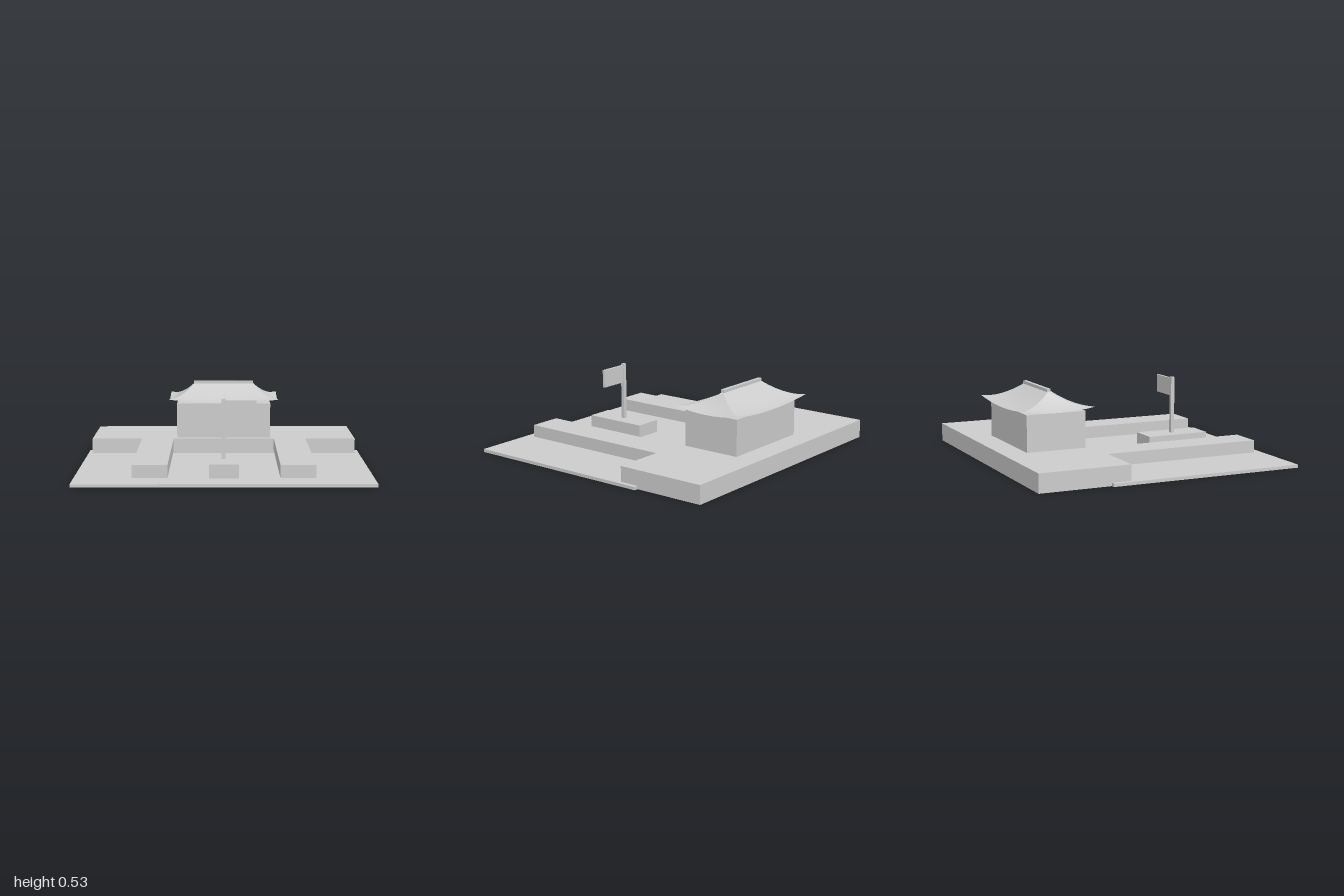
import * as THREE from 'three';

const grey = new THREE.MeshStandardMaterial({ color: 0xcccccc, side: THREE.DoubleSide });
grey.name = 'plain grey';

// Box given by its limits on each axis
function block(name, [x0, x1], [y0, y1], [z0, z1]) {
  const mesh = new THREE.Mesh(new THREE.BoxGeometry(x1 - x0, y1 - y0, z1 - z0), grey);
  mesh.position.set((x0 + x1) / 2, (y0 + y1) / 2, (z0 + z1) / 2);
  mesh.name = name;
  return mesh;
}

// One concave roof slope with upturned eave corners; angle is the way it faces
function roofSlope(angle, eaveHalf, ridgeHalf, eaveOut, ridgeOut) {
  const across = 12, up = 10;
  const c = Math.round(Math.cos(angle)), n = Math.round(Math.sin(angle));
  const points = [], index = [];
  for (let j = 0; j <= up; j++) {
    const t = j / up;
    for (let i = 0; i <= across; i++) {
      const s = (2 * i) / across - 1;
      const a = s * THREE.MathUtils.lerp(eaveHalf, ridgeHalf, t);
      const o = THREE.MathUtils.lerp(eaveOut, ridgeOut, t);
      const y = 0.395 + 0.122 * t ** 1.6 + 0.025 * s * s * (1 - t) ** 2;
      points.push(a * c + o * n, y, -a * n + o * c);
      if (i < across && j < up) {
        const k = j * (across + 1) + i, m = k + across + 1;
        index.push(k, k + 1, m + 1, k, m + 1, m);
      }
    }
  }
  const geometry = new THREE.BufferGeometry();
  geometry.setAttribute('position', new THREE.Float32BufferAttribute(points, 3));
  geometry.setIndex(index);
  geometry.computeVertexNormals();
  return new THREE.Mesh(geometry, grey);
}

export function createModel() {
  const model = new THREE.Group();
  model.name = 'courtyard';

  // Ground, rear terrace and the two side wings
  model.add(block('ground', [-1, 1], [0, 0.022], [-0.44, 0.945]));
  model.add(block('terrace', [-0.97, 0.97], [0, 0.13], [-0.945, -0.3]));
  model.add(block('leftWing', [0.37, 0.605], [0.043, 0.13], [-0.3, 0.835]));
  model.add(block('rightWing', [-0.605, -0.37], [0.043, 0.13], [-0.3, 0.835]));

  // Flag on its pedestal
  model.add(block('pedestal', [-0.1, 0.1], [0.02, 0.113], [0.265, 0.732]));
  model.add(block('flagPole', [-0.015, 0.012], [0.113, 0.523], [0.484, 0.51]));
  model.add(block('flag', [0.012, 0.22], [0.385, 0.513], [0.488, 0.506]));

  // Hall
  model.add(block('hall', [-0.345, 0.345], [0.13, 0.385], [-0.775, -0.345]));

  // Hipped roof with ridge
  const roof = new THREE.Group();
  roof.name = 'roof';
  roof.position.z = -0.565;
  for (let i = 0; i < 4; i++) {
    const slope = i % 2 === 0
      ? roofSlope((i * Math.PI) / 2, 0.405, 0.22, 0.265, 0)
      : roofSlope((i * Math.PI) / 2, 0.265, 0, 0.405, 0.22);
    slope.name = ['frontSlope', 'leftSlope', 'backSlope', 'rightSlope'][i];
    roof.add(slope);
  }
  roof.add(block('ridge', [-0.222, 0.222], [0.512, 0.533], [-0.013, 0.013]));
  model.add(roof);

  return model;
}
